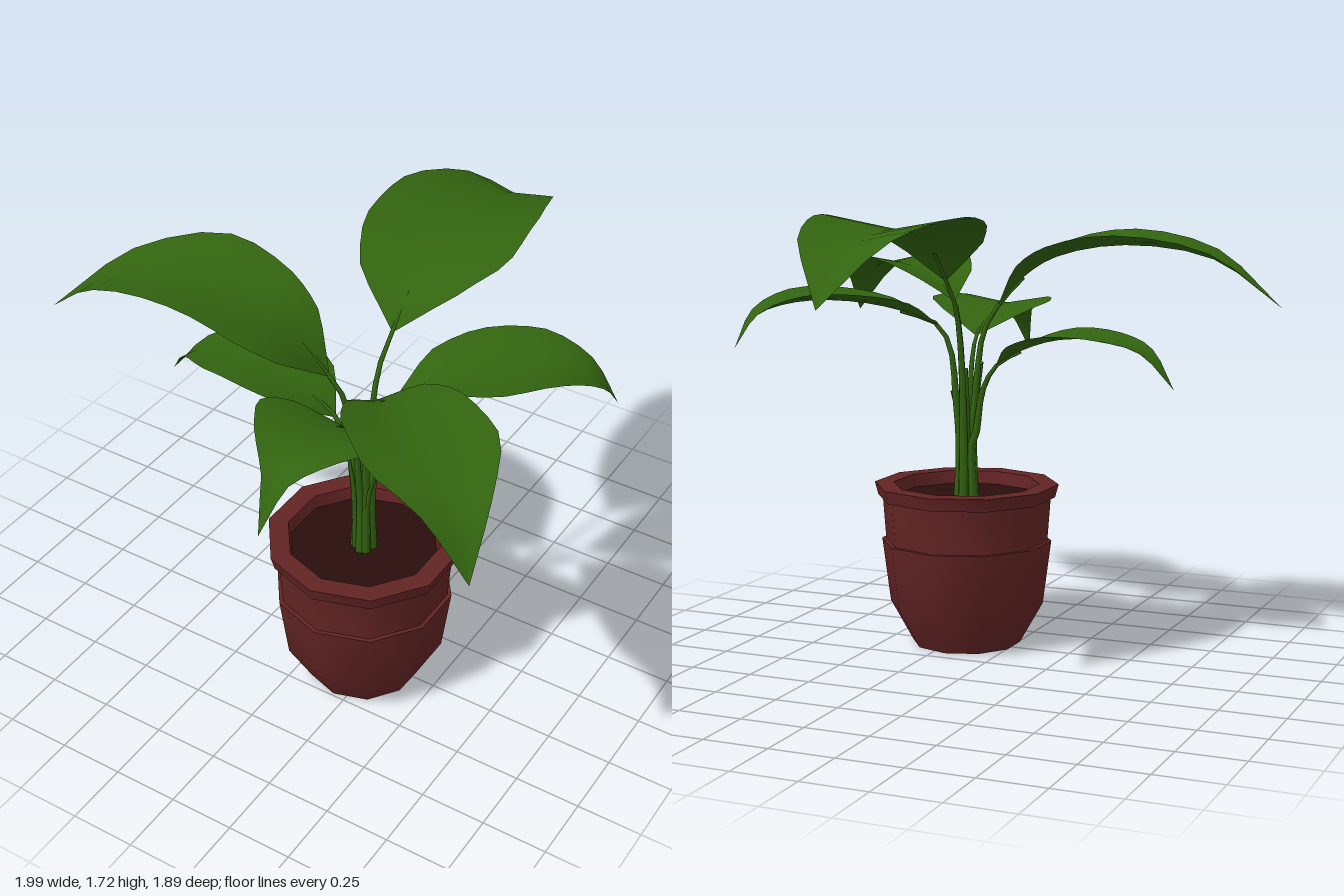
import * as THREE from 'three';
import { toCreasedNormals } from 'three/addons/utils/BufferGeometryUtils.js';

const CX = 0.2, CZ = 0.275; // pot axis

const mat = (name, color, side = THREE.FrontSide) => {
  const m = new THREE.MeshStandardMaterial({ color, side });
  m.name = name;
  return m;
};
const V = (x, y, z) => new THREE.Vector3(x, y, z);

// Leaf rows, base to tip: x, y, z of the midrib, then half widths on both sides and edge lift
const LEAVES = {
  backLeaf: [[0.21, 1.46, 0.1, 0.01, 0.01, 0], [0.21, 1.57, 0, 0.2, 0.19, 0.04], [0.21, 1.65, -0.2, 0.29, 0.3, 0.05],
    [0.21, 1.67, -0.45, 0.29, 0.27, 0.05], [0.21, 1.61, -0.72, 0.17, 0.19, 0.04], [0.21, 1.43, -0.95, 0, 0, 0]],
  rightLongLeaf: [[0.08, 1.35, 0.32, 0.01, 0.01, 0], [-0.02, 1.46, 0.33, 0.22, 0.14, 0.05], [-0.15, 1.54, 0.34, 0.28, 0.2, 0.05],
    [-0.42, 1.59, 0.37, 0.25, 0.26, 0.05], [-0.75, 1.54, 0.44, 0.15, 0.15, 0.03], [-1, 1.36, 0.5, 0, 0, 0]],
  frontLeftLeaf: [[0.3, 1.36, 0.38, 0.01, 0.01, 0], [0.38, 1.42, 0.43, 0.14, 0.14, 0.04], [0.5, 1.46, 0.53, 0.22, 0.21, 0.05],
    [0.7, 1.48, 0.67, 0.23, 0.24, 0.04], [0.89, 1.42, 0.82, 0.11, 0.13, 0.03], [0.99, 1.25, 0.92, 0, 0, 0]],
  backLeftLeaf: [[0.3, 1.27, 0.23, 0.01, 0.01, 0], [0.42, 1.33, 0.14, 0.16, 0.13, 0.04], [0.58, 1.37, 0.02, 0.22, 0.2, 0.04],
    [0.75, 1.37, -0.1, 0.2, 0.15, 0.04], [0.87, 1.32, -0.2, 0.1, 0.09, 0.02], [0.93, 1.2, -0.26, 0, 0, 0]],
  frontLeaf: [[0.21, 1.22, 0.4, 0.01, 0.01, 0], [0.21, 1.27, 0.47, 0.18, 0.18, 0.04], [0.21, 1.31, 0.57, 0.27, 0.25, 0.04],
    [0.2, 1.32, 0.72, 0.18, 0.16, 0.03], [0.2, 1.26, 0.84, 0.06, 0.05, 0.02], [0.2, 1.11, 0.94, 0, 0, 0]],
  rightSmallLeaf: [[0.06, 1.12, 0.25, 0.01, 0.01, 0], [-0.04, 1.18, 0.25, 0.15, 0.15, 0.03], [-0.2, 1.23, 0.25, 0.19, 0.2, 0.03],
    [-0.4, 1.23, 0.25, 0.16, 0.16, 0.02], [-0.55, 1.18, 0.25, 0.08, 0.08, 0.02], [-0.66, 1.06, 0.25, 0, 0, 0]],
};

// Arched blade with a folded midrib, lofted along the rows
function leafGeometry(rows) {
  const N = 15, across = [-1, -0.5, 0, 0.5, 1], pos = [], idx = [];
  const mid = new THREE.CatmullRomCurve3(rows.map(r => V(r[0], r[1], r[2])));
  const shape = new THREE.CatmullRomCurve3(rows.map(r => V(r[3], r[4], r[5])));
  const d = mid.getPoint(1).sub(mid.getPoint(0)).setY(0).normalize();
  for (let i = 0; i <= N; i++) {
    const p = mid.getPoint(i / N), w = shape.getPoint(i / N);
    across.forEach(a => {
      const off = a * Math.max(0, a > 0 ? w.x : w.y);
      pos.push(p.x + d.z * off, p.y + w.z * Math.abs(a), p.z - d.x * off);
    });
  }
  for (let i = 0; i < N; i++) for (let j = 0; j < 4; j++) {
    const a = i * 5 + j, b = a + 5;
    idx.push(a, a + 1, b, a + 1, b + 1, b);
  }
  const g = new THREE.BufferGeometry();
  g.setAttribute('position', new THREE.Float32BufferAttribute(pos, 3));
  g.setIndex(idx);
  g.computeVertexNormals();
  return g;
}

// Tube narrowing from r0 to r1
function stemGeometry(points, r0, r1) {
  const seg = 12, sides = 6, curve = new THREE.CatmullRomCurve3(points);
  const g = new THREE.TubeGeometry(curve, seg, r0, sides);
  const p = g.attributes.position, v = V(0, 0, 0);
  for (let i = 0; i < p.count; i++) {
    const t = Math.floor(i / (sides + 1)) / seg, c = curve.getPointAt(t);
    v.fromBufferAttribute(p, i).sub(c).multiplyScalar(1 + t * (r1 / r0 - 1)).add(c);
    p.setXYZ(i, v.x, v.y, v.z);
  }
  return g;
}

export function createModel() {
  const model = new THREE.Group();
  const leafGreen = mat('leaf green', 0x32640f, THREE.DoubleSide);
  const clay = mat('clay red', 0x632424);
  const earth = mat('dark earth', 0x2a0d0d);
  const add = (name, geo, material, x = 0, y = 0, z = 0) => {
    const m = new THREE.Mesh(geo, material);
    m.name = name;
    m.position.set(x, y, z);
    model.add(m);
    return m;
  };

  // Pot: recessed foot, belly, collar, rim and inner wall
  const profile = [[0.001, 0.04], [0.18, 0.04], [0.2, 0], [0.215, 0], [0.305, 0.16], [0.338, 0.415], [0.322, 0.415],
    [0.335, 0.59], [0.352, 0.59], [0.366, 0.642], [0.29, 0.642], [0.275, 0.54]].map(p => new THREE.Vector2(...p));
  add('pot', toCreasedNormals(new THREE.LatheGeometry(profile, 10), 0.7), clay, CX, 0, CZ);

  // Soil
  add('soil', new THREE.CylinderGeometry(0.284, 0.276, 0.02, 10), earth, CX, 0.58, CZ);

  // Leaves, each on its own stem
  for (const [name, rows] of Object.entries(LEAVES)) {
    add(name, leafGeometry(rows), leafGreen);
    const [x, y, z] = rows[0], dx = x - CX, dz = z - CZ, len = Math.hypot(dx, dz);
    const at = (r, h) => V(CX + dx / len * r, h, CZ + dz / len * r);
    const path = [at(0.03, 0.57), at(0.025, 0.8), at(0.03 + len * 0.1, y - 0.28), at(len * 0.55, y - 0.1), V(x, y, z),
      V(rows[1][0], rows[1][1] - 0.004, rows[1][2])];
    add(name + 'Stem', stemGeometry(path, 0.021, 0.006), leafGreen);
  }

  // Core stalk and two bare shoots
  add('coreStalk', stemGeometry([V(CX, 0.57, CZ), V(CX, 0.8, CZ), V(CX, 1.1, CZ)], 0.035, 0.006), leafGreen);
  add('leftShoot', stemGeometry([V(0.22, 0.57, 0.29), V(0.235, 0.85, 0.3), V(0.285, 1, 0.32)], 0.018, 0.003), leafGreen);
  add('rightShoot', stemGeometry([V(0.18, 0.57, 0.29), V(0.175, 0.9, 0.31), V(0.155, 1.12, 0.335)], 0.018, 0.003), leafGreen);
  return model;
}
